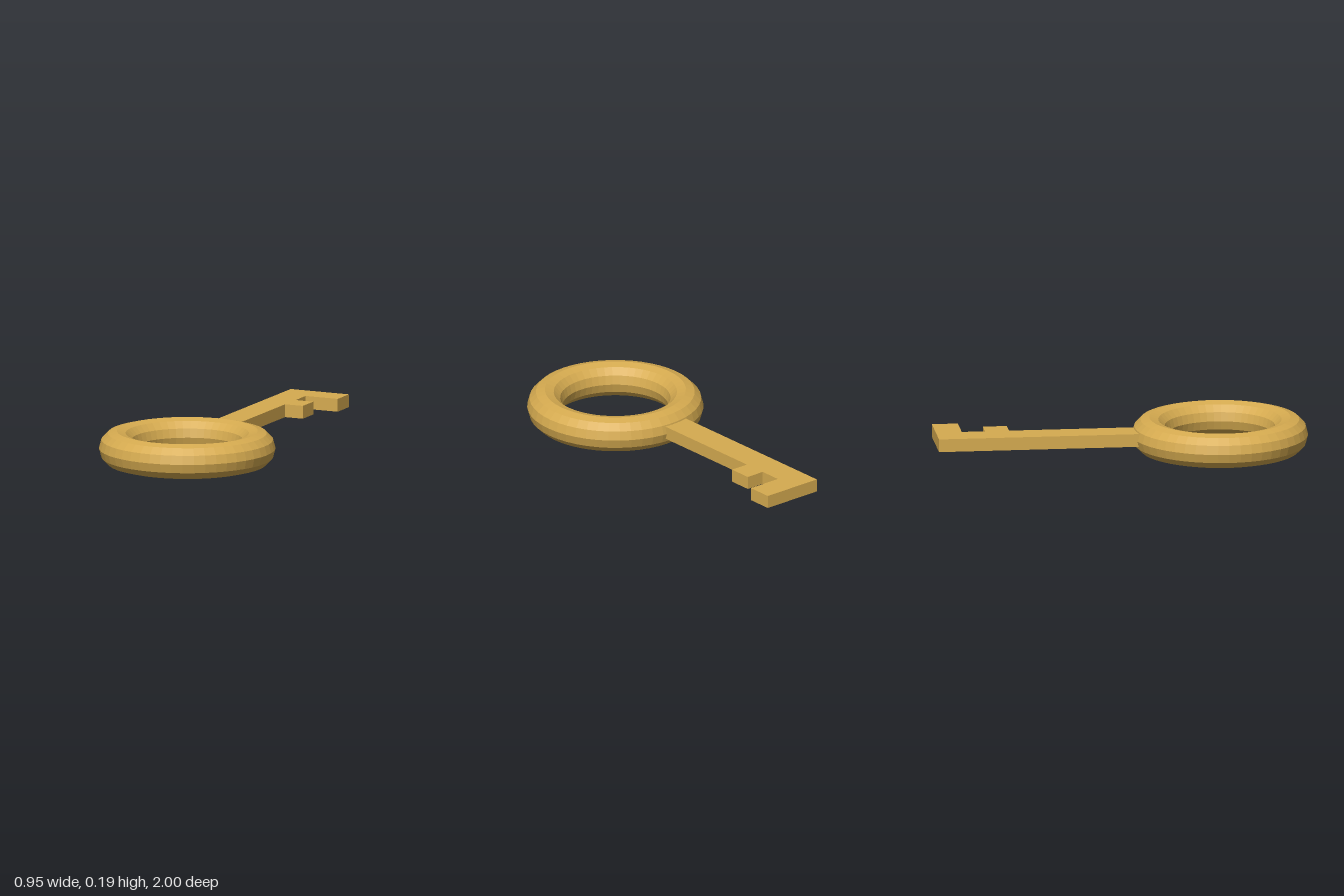
import * as THREE from 'three';

export function createModel() {
  const key = new THREE.Group();
  key.name = 'key';
  const brass = new THREE.MeshStandardMaterial({ color: 0xd6ab50, flatShading: true });

  // Ring handle, lying flat
  const ringGeometry = new THREE.TorusGeometry(0.378, 0.095, 12, 48);
  ringGeometry.rotateX(-Math.PI / 2);
  const ring = new THREE.Mesh(ringGeometry, brass);
  ring.name = 'ringHandle';
  ring.position.set(0, 0.095, 0.527);
  key.add(ring);

  // Shaft with two teeth, outlined as [x, z] and sunk into the ring
  const outline = [
    [-0.115, 0.12], [0.04, 0.12], [0.04, -0.605], [0.145, -0.605], [0.145, -0.735],
    [0.04, -0.735], [0.04, -0.86], [0.23, -0.86], [0.23, -1], [-0.115, -1],
  ];
  const shape = new THREE.Shape(outline.map(([x, z]) => new THREE.Vector2(x, -z)));
  const shaftGeometry = new THREE.ExtrudeGeometry(shape, { depth: 0.07, bevelEnabled: false });
  shaftGeometry.rotateX(-Math.PI / 2);
  const shaft = new THREE.Mesh(shaftGeometry, brass);
  shaft.name = 'toothedShaft';
  shaft.position.y = 0.065;
  key.add(shaft);

  return key;
}
